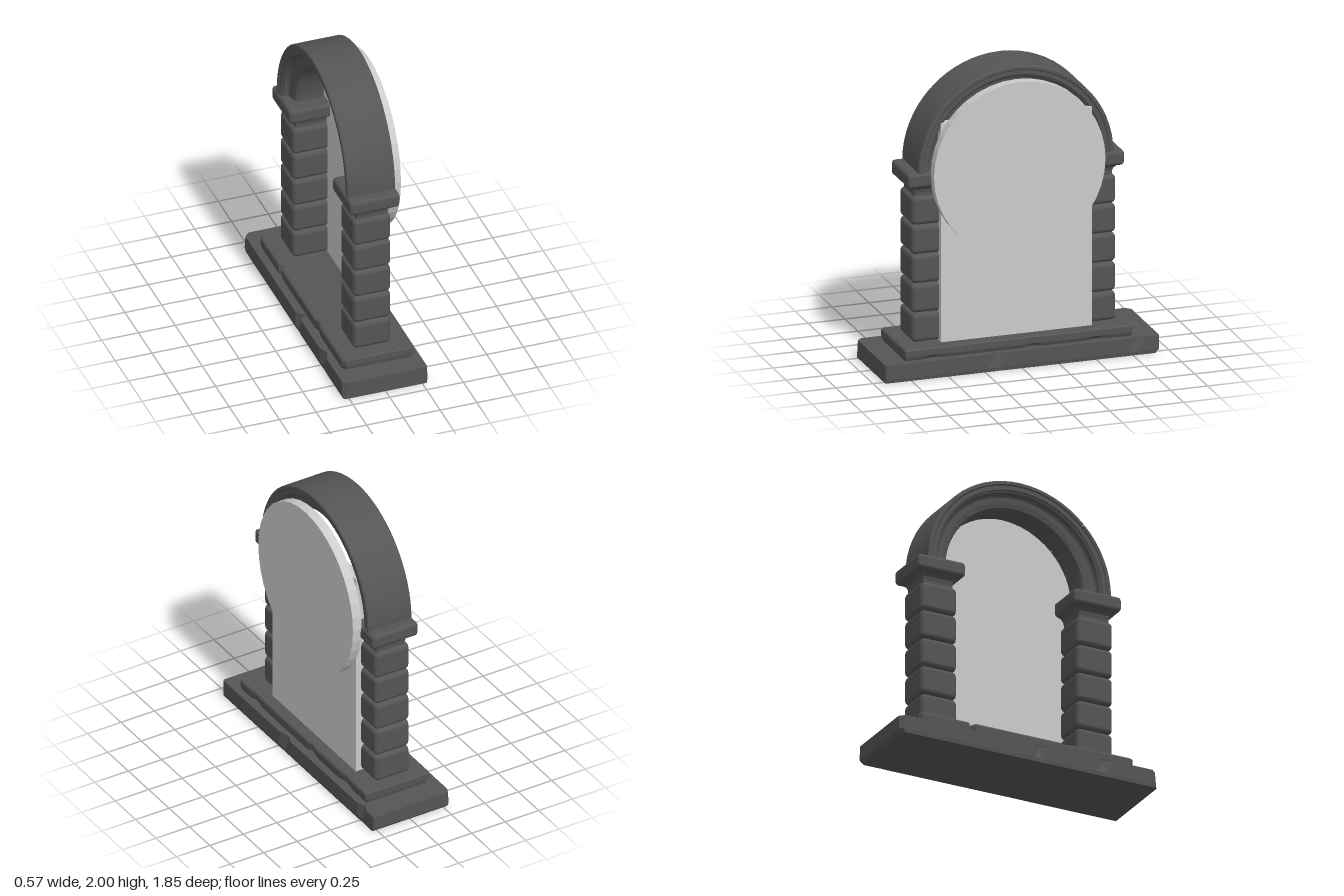
import * as THREE from 'three';
import { RoundedBoxGeometry } from 'three/addons/geometries/RoundedBoxGeometry.js';

const stone = new THREE.MeshStandardMaterial({ color: 0x555555 });
const stoneFlat = new THREE.MeshStandardMaterial({ color: 0x555555, flatShading: true });
const stoneOpen = new THREE.MeshStandardMaterial({ color: 0x555555, side: THREE.DoubleSide });
const pale = new THREE.MeshStandardMaterial({ color: 0xcccccc, flatShading: true });

function add(parent, name, geometry, material, x = 0, y = 0, z = 0) {
  const mesh = new THREE.Mesh(geometry, material);
  mesh.name = name;
  mesh.position.set(x, y, z);
  parent.add(mesh);
  return mesh;
}

// Slab skinned through outlines of [x, z] points, one per level, all of equal length
function slab(levels) {
  const pos = [], index = [], n = levels[0].pts.length;
  for (const { y, pts } of levels) for (const [x, z] of pts) pos.push(x, y, z);
  const ccw = levels[0].pts.map(([x, z]) => new THREE.Vector2(x, z));
  for (let l = 0; l < levels.length - 1; l++) {
    for (let i = 0; i < n; i++) {
      const a = l * n + i, b = l * n + (i + 1) % n;
      index.push(a, a + n, b, b, a + n, b + n);
    }
  }
  const cap = THREE.ShapeUtils.triangulateShape(ccw, []);
  const top = (levels.length - 1) * n;
  const topCap = THREE.ShapeUtils.triangulateShape(levels[levels.length - 1].pts.map(([x, z]) => new THREE.Vector2(x, z)), []);
  for (const [a, b, c] of cap) index.push(a, b, c);
  for (const [a, b, c] of topCap) index.push(top + a, top + c, top + b);
  const g = new THREE.BufferGeometry();
  g.setAttribute('position', new THREE.Float32BufferAttribute(pos, 3));
  g.setIndex(index);
  const flat = g.toNonIndexed();
  flat.computeVertexNormals();
  return flat;
}

// Rectangle outline with cut corners and chips; chips are [z, half width, depth]
function outline(x0, x1, z0, z1, cut, leftChips, rightChips) {
  const pts = [[x0 + cut, z0], [x1 - cut / 3, z0], [x1, z0 + cut / 3]];
  for (const [z, w, d] of rightChips) pts.push([x1, z - w], [x1 - d, z], [x1, z + w]);
  pts.push([x1, z1 - cut / 3], [x1 - cut / 3, z1], [x0 + cut, z1], [x0, z1 - cut]);
  for (const [z, w, d] of leftChips) pts.push([x0, z + w], [x0 + d, z], [x0, z - w]);
  pts.push([x0, z0 + cut]);
  return pts;
}

function makeSteps(group) {
  const baseL = d => [[0.55, 0.07, d], [0.09, 0.05, d * 1.6]];
  const baseR = d => [[-0.78, 0.06, d], [0.16, 0.07, d]];
  add(group, 'baseSlab', slab([
    { y: 0, pts: outline(-0.285, 0.28, -0.9, 0.925, 0.012, baseL(0.002), baseR(0.002)) },
    { y: 0.025, pts: outline(-0.288, 0.285, -0.925, 0.925, 0.02, baseL(0.003), baseR(0.003)) },
    { y: 0.12, pts: outline(-0.288, 0.285, -0.925, 0.925, 0.035, baseL(0.03), baseR(0.025)) },
  ]), stoneFlat);

  const stepL = d => [[0.3, 0.05, d * 0.3], [-0.38, 0.025, d]];
  const stepR = d => [[-0.5, 0.08, d * 0.5], [-0.09, 0.06, d * 0.7], [0.6, 0.07, d * 0.5]];
  add(group, 'upperStep', slab([
    { y: 0.12, pts: outline(-0.235, 0.235, -0.755, 0.775, 0.03, stepL(0.045), stepR(0.045)) },
    { y: 0.145, pts: outline(-0.24, 0.245, -0.76, 0.78, 0.025, stepL(0.045), stepR(0.015)) },
    { y: 0.185, pts: outline(-0.24, 0.245, -0.76, 0.78, 0.015, stepL(0.045), stepR(0.012)) },
    { y: 0.195, pts: outline(-0.232, 0.237, -0.752, 0.772, 0.015, stepL(0.045), stepR(0.012)) },
  ]), stoneFlat);
}

// Stacked rounded blocks, a flared neck and a square capital
function makePillar(z) {
  const pillar = new THREE.Group();
  pillar.name = 'pillar';
  pillar.position.z = z;
  for (let i = 0; i < 5; i++) {
    add(pillar, 'pillarBlock', new RoundedBoxGeometry(0.256, 0.194, 0.256, 3, 0.032), stone, -0.003, 0.293 + i * 0.197, 0);
  }
  const profile = [[0.105, 1.16], [0.105, 1.2], [0.112, 1.225], [0.13, 1.243], [0.155, 1.252]]
    .map(([r, y]) => new THREE.Vector2(r * Math.SQRT2, y));
  add(pillar, 'neck', new THREE.LatheGeometry(profile, 4, Math.PI / 4), stoneFlat);
  add(pillar, 'capital', new RoundedBoxGeometry(0.34, 0.1, 0.34, 3, 0.024), stone, 0, 1.3, 0);
  return pillar;
}

// Half ring of eight moulded stones over a slightly smaller core
function makeArch() {
  const arch = new THREE.Group();
  arch.name = 'arch';
  arch.position.y = 1.34;
  arch.rotation.z = Math.PI / 2;
  // Half of the moulding: [radius, half depth], from the outside inwards
  const half = [[0.66, 0.155], [0.653, 0.163], [0.635, 0.163], [0.628, 0.155], [0.6, 0.155],
    [0.592, 0.145], [0.585, 0.12], [0.565, 0.105], [0.53, 0.1], [0.5, 0.09], [0.49, 0.07]];
  const loop = inset => {
    const p = half.map(([r, d]) => new THREE.Vector2(r + (r > 0.58 ? -inset : inset), d - inset));
    const q = p.map(v => new THREE.Vector2(v.x, -v.y)).reverse();
    return [...p, ...q, p[0].clone()].reverse();
  };
  // Doubling the points keeps the moulding edges crisp
  const crisp = pts => {
    const out = [];
    for (let i = 0; i < pts.length - 1; i++) out.push(pts[i], pts[i].clone().lerp(pts[i + 1], 0.03), pts[i].clone().lerp(pts[i + 1], 0.97));
    out.push(pts[pts.length - 1]);
    return out;
  };
  const step = Math.PI / 8, gap = 0.003;
  // The lathe axis lies along x, so angles 0 to PI sweep the upper half
  for (let i = 0; i < 8; i++) {
    add(arch, 'archStone', new THREE.LatheGeometry(crisp(loop(0)), 4, i * step + gap, step - 2 * gap), stoneOpen);
  }
  add(arch, 'archCore', new THREE.LatheGeometry(loop(0.008), 32, 0, Math.PI), stoneOpen);
  return arch;
}

export function createModel() {
  const model = new THREE.Group();
  model.name = 'stoneGateway';
  makeSteps(model);
  for (const side of [-1, 1]) model.add(makePillar(side * 0.562));
  // Turn the half ring so it rises above the capitals
  const arch = makeArch();
  model.add(arch);

  // Pale door panel and the round plate in front of it
  add(model, 'doorPanel', new THREE.BoxGeometry(0.06, 1.475, 1.02), pale, 0.135, 0.9325, 0);
  const disc = add(model, 'roundPlate', new THREE.CylinderGeometry(0.58, 0.58, 0.065, 40), pale, 0.197, 1.335, 0);
  disc.rotation.z = Math.PI / 2;

  // Lathe angles start at z and run through x, which the turn maps to up
  return model;
}
